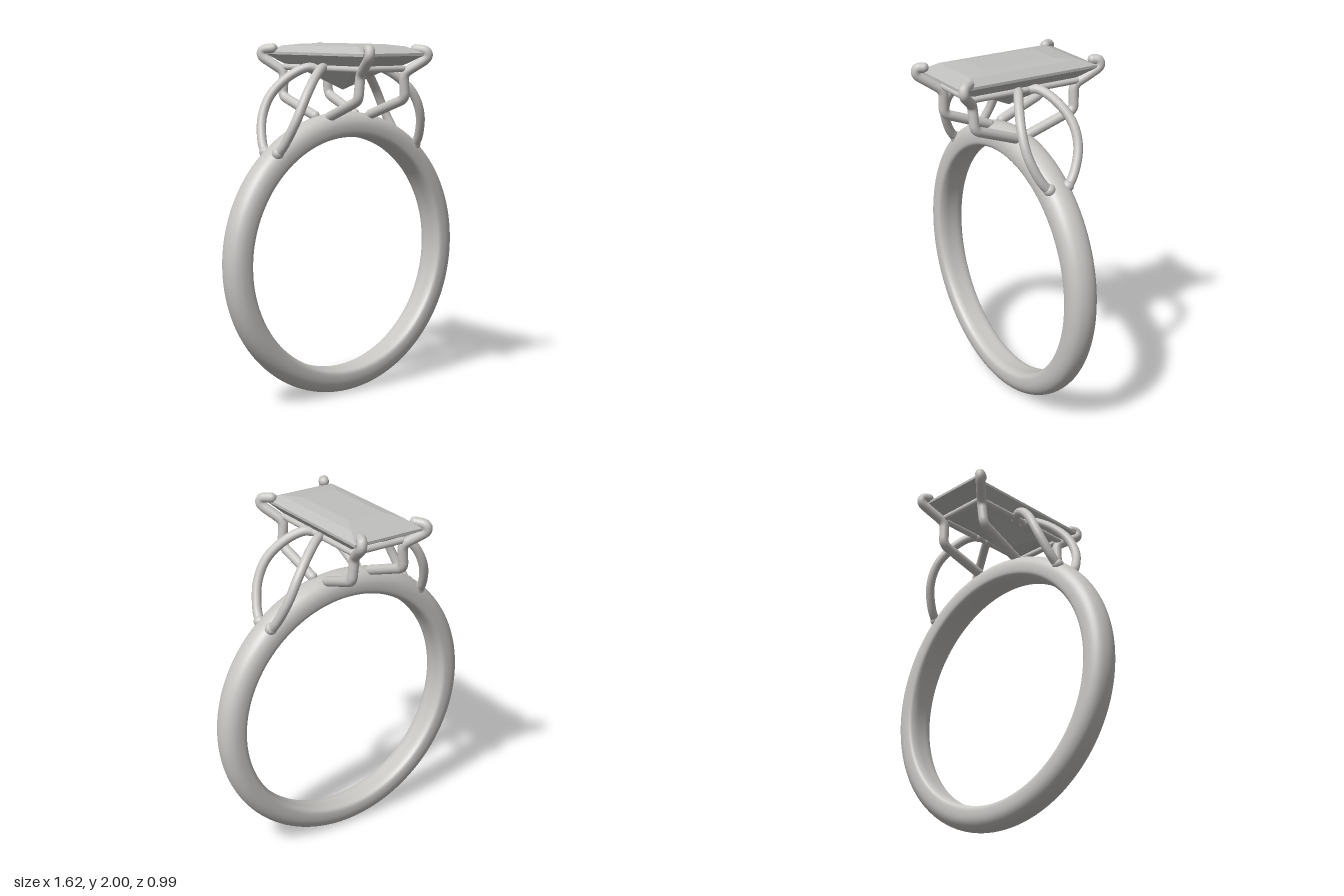
import * as THREE from 'three';

const V = (x, y, z) => new THREE.Vector3(x, y, z);

// Round wire along a path, with a ball on each end
function wire(name, curve, radius, material, segments = 48) {
  const g = new THREE.Group();
  g.name = name;
  g.add(new THREE.Mesh(new THREE.TubeGeometry(curve, segments, radius, 14), material));
  for (const t of [0, 1]) {
    const ball = new THREE.Mesh(new THREE.SphereGeometry(radius, 14, 10), material);
    ball.position.copy(curve.getPoint(t));
    g.add(ball);
  }
  return g;
}

// Straight runs with softly rounded bends
function bentPath(points, bend = 0.035) {
  const path = new THREE.CurvePath();
  let from = points[0];
  for (let i = 1; i < points.length - 1; i++) {
    const p = points[i];
    const toward = q => {
      const d = q.clone().sub(p);
      return p.clone().addScaledVector(d.clone().normalize(), Math.min(bend, d.length() * 0.45));
    };
    const a = toward(points[i - 1]), b = toward(points[i + 1]);
    path.add(new THREE.LineCurve3(from, a));
    path.add(new THREE.QuadraticBezierCurve3(a, p, b));
    from = b;
  }
  path.add(new THREE.LineCurve3(from, points[points.length - 1]));
  return path;
}

// Finger band: rounded section swept in a circle, slightly wider at the top
function makeBand(material) {
  const section = new THREE.CatmullRomCurve3([
    V(0.668, 0, 0), V(0.67, -0.055, 0), V(0.684, -0.084, 0), V(0.715, -0.091, 0),
    V(0.76, -0.084, 0), V(0.795, -0.056, 0), V(0.81, 0, 0),
    V(0.795, 0.056, 0), V(0.76, 0.084, 0), V(0.715, 0.091, 0),
    V(0.684, 0.084, 0), V(0.67, 0.055, 0), V(0.668, 0, 0),
  ]).getPoints(60).map(p => new THREE.Vector2(p.x, p.y));
  const geo = new THREE.LatheGeometry(section, 128);
  geo.rotateX(Math.PI / 2);
  const pos = geo.attributes.position;
  for (let i = 0; i < pos.count; i++) {
    pos.setZ(i, pos.getZ(i) * (0.93 + 0.1 * pos.getY(i)));
  }
  const band = new THREE.Mesh(geo, material);
  band.name = 'band';
  band.position.y = 0.81;
  return band;
}

// Step-cut stone: stacked rectangles [half width, half depth, height], top to bottom
function makeStone(material) {
  const levels = [
    [0.11, 0.22, 2.0], [0.17, 0.34, 1.988], [0.215, 0.435, 1.953], [0.215, 0.435, 1.938],
    [0.17, 0.34, 1.89], [0.11, 0.22, 1.85], [0, 0, 1.743],
  ];
  const corners = ([w, d, y]) => [V(w, y, d), V(w, y, -d), V(-w, y, -d), V(-w, y, d)];
  const verts = [];
  const quad = (a, b, c, d) => [a, b, c, a, c, d].forEach(p => verts.push(p.x, p.y, p.z));
  quad(...corners(levels[0]));
  for (let i = 0; i < levels.length - 1; i++) {
    const top = corners(levels[i]), low = corners(levels[i + 1]);
    for (let k = 0; k < 4; k++) {
      const n = (k + 1) % 4;
      quad(top[k], low[k], low[n], top[n]);
    }
  }
  const geo = new THREE.BufferGeometry();
  geo.setAttribute('position', new THREE.Float32BufferAttribute(verts, 3));
  geo.computeVertexNormals();
  const stone = new THREE.Mesh(geo, material);
  stone.name = 'stone';
  return stone;
}

export function createModel() {
  const metal = new THREE.MeshStandardMaterial({ color: 0xc8c6c3 });
  metal.name = 'metal';
  const gem = new THREE.MeshStandardMaterial({ color: 0xbfbfbd });
  gem.name = 'gem';

  const ring = new THREE.Group();
  ring.name = 'ring';
  ring.add(makeBand(metal), makeStone(gem));

  // Claws: one pair at the front, the same pair turned half round at the back
  const claws = [
    ['narrowClaw', bentPath([V(-0.13, 1.6, 0.05), V(-0.155, 1.7, 0.325), V(-0.145, 1.84, 0.33),
      V(-0.198, 1.935, 0.47), V(-0.192, 1.975, 0.465), V(-0.175, 1.975, 0.432)])],
    ['wideClaw', bentPath([V(0.16, 1.6, 0.05), V(0.18, 1.7, 0.325), V(0.165, 1.84, 0.33),
      V(0.255, 1.925, 0.43), V(0.25, 1.965, 0.43), V(0.212, 1.972, 0.375)])],
  ];
  for (const turn of [0, Math.PI]) {
    for (const [name, path] of claws) {
      const claw = wire(name, path, 0.028, metal, 72);
      claw.rotation.y = turn;
      ring.add(claw);
    }
  }

  // Rectangular seat rail under the stone
  const rail = new THREE.Group();
  rail.name = 'seatRail';
  const rc = [V(0.16, 1.866, 0.335), V(0.16, 1.866, -0.335), V(-0.16, 1.866, -0.335), V(-0.16, 1.866, 0.335)];
  rc.forEach((p, i) => rail.add(wire('railBar', new THREE.LineCurve3(p, rc[(i + 1) % 4]), 0.018, metal, 1)));
  ring.add(rail);

  // Bowed shoulder wires from the band up to the rail
  for (const sx of [-1, 1]) {
    for (const sz of [-1, 1]) {
      const path = new THREE.CatmullRomCurve3([
        [0.5, 1.4, 0.05], [0.485, 1.47, 0.105], [0.445, 1.6, 0.158], [0.385, 1.72, 0.16],
        [0.29, 1.82, 0.118], [0.2, 1.87, 0.066], [0.15, 1.865, 0.035],
      ].map(([x, y, z]) => V(sx * x, y, sz * z)));
      ring.add(wire('shoulderWire', path, 0.026, metal));
      // Soft joint where the wire meets the band
      const joint = new THREE.Mesh(new THREE.SphereGeometry(0.034, 16, 12), metal);
      joint.name = 'wireJoint';
      joint.position.set(sx * 0.498, 1.415, sz * 0.058);
      ring.add(joint);
    }
  }
  return ring;
}
